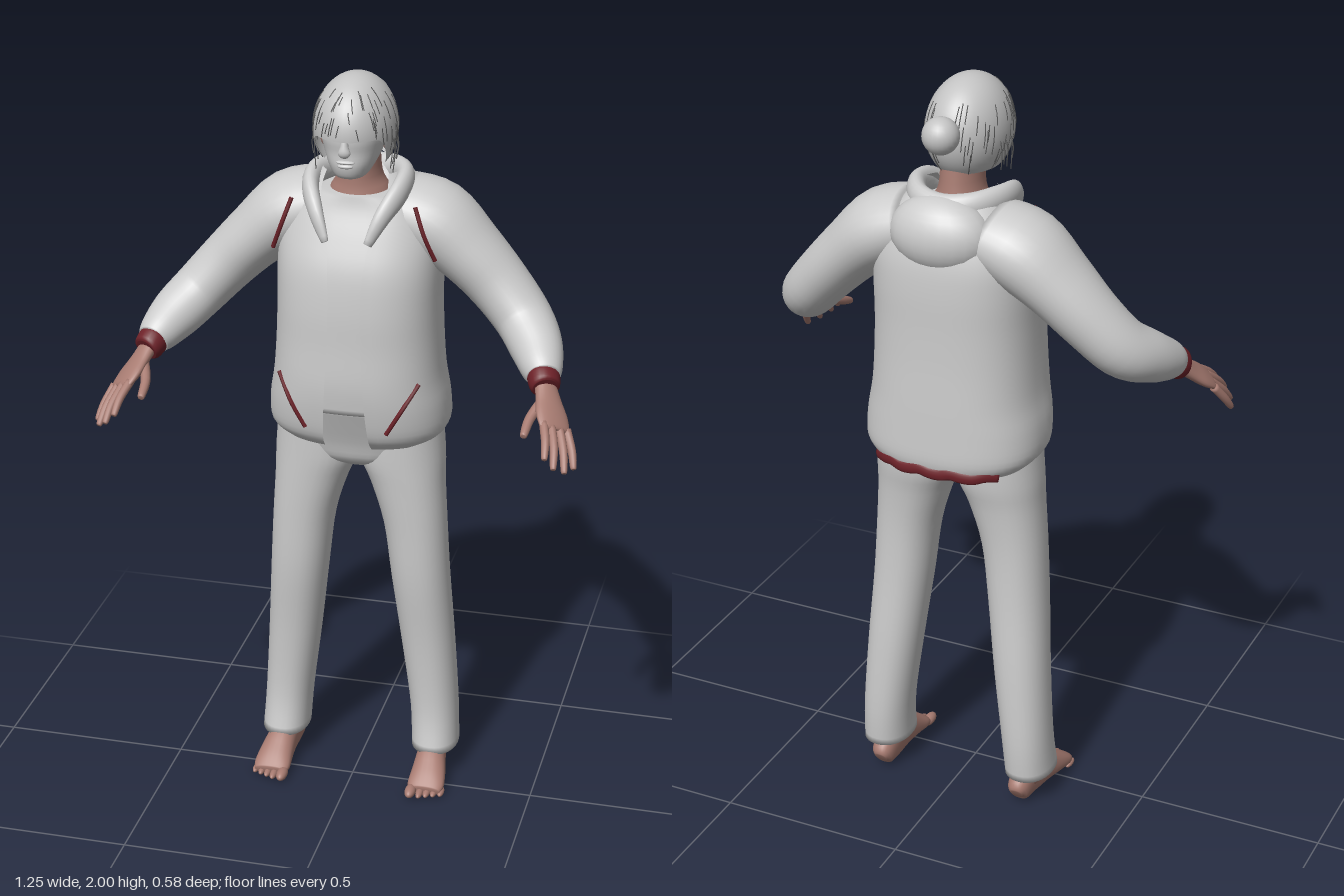
import * as THREE from 'three';
import { ParametricGeometry } from 'three/addons/geometries/ParametricGeometry.js';

const mat = (name, color, side = THREE.FrontSide) => {
  const m = new THREE.MeshStandardMaterial({ color, side });
  m.name = name;
  return m;
};
const V = (x, y, z) => new THREE.Vector3(x, y, z);

// Resample rows of numbers with a Catmull-Rom rule
function smooth(rows, k = 4) {
  const out = [];
  for (let i = 0; i < rows.length - 1; i++) {
    const [a, b, c, d] = [rows[Math.max(i - 1, 0)], rows[i], rows[i + 1], rows[Math.min(i + 2, rows.length - 1)]];
    for (let s = 0; s < k; s++) {
      const t = s / k;
      out.push(b.map((p, j) => p + 0.5 * t * (c[j] - a[j] + t * (2 * a[j] - 5 * p + 4 * c[j] - d[j] + t * (3 * (p - c[j]) + d[j] - a[j])))));
    }
  }
  out.push(rows[rows.length - 1]);
  return out;
}

// Skin superellipse rings {c, u, v, gap}; a gap leaves the front open
function loft(rings, { n = 2, segs = 32, open = false, caps = true } = {}) {
  const pos = [], idx = [], cols = open ? segs + 1 : segs;
  const pw = (f) => Math.sign(f) * Math.pow(Math.abs(f), 2 / n);
  rings.forEach(({ c, u, v, gap = 0 }) => {
    const g = open ? Math.asin(Math.pow(gap / u.length(), n / 2)) : 0;
    for (let j = 0; j < cols; j++) {
      const th = -Math.PI / 2 + g + (j / segs) * (Math.PI * 2 - 2 * g);
      const p = c.clone().addScaledVector(u, pw(Math.cos(th))).addScaledVector(v, pw(Math.sin(th)));
      pos.push(p.x, p.y, p.z);
    }
  });
  for (let i = 0; i < rings.length - 1; i++) {
    for (let j = 0; j < segs; j++) {
      const a = i * cols + j, b = i * cols + ((j + 1) % cols);
      idx.push(a, b, a + cols, b, b + cols, a + cols);
    }
  }
  if (caps && !open) {
    const last = rings.length - 1, k = pos.length / 3;
    for (const r of [rings[0], rings[last]]) pos.push(r.c.x, r.c.y, r.c.z);
    for (let j = 0; j < segs; j++) {
      const j2 = (j + 1) % segs;
      idx.push(k, j2, j, k + 1, last * cols + j, last * cols + j2);
    }
  }
  const geo = new THREE.BufferGeometry();
  geo.setAttribute('position', new THREE.Float32BufferAttribute(pos, 3));
  geo.setIndex(idx);
  geo.computeVertexNormals();
  return geo;
}

// Upright form, rows of [y, centreX, halfWidth, frontZ, backZ, gap]
const upright = (rows, opt) => loft(smooth(rows).map(([y, x, a, f, b, gap]) =>
  ({ c: V(x, y, (f + b) / 2), u: V(a, 0, 0), v: V(0, 0, (b - f) / 2), gap })), opt);

// Form swept along a path, rows of [x, y, z, radius along ref, other radius]
function sweep(rows, ref, opt) {
  const r = smooth(rows), at = (i) => V(...r[Math.min(Math.max(i, 0), r.length - 1)].slice(0, 3));
  return loft(r.map((q, i) => {
    const t = at(i + 1).sub(at(i - 1)).normalize();
    const u = ref.clone().addScaledVector(t, -ref.dot(t)).normalize();
    const v = t.clone().cross(u);
    return { c: at(i), u: u.multiplyScalar(q[3]), v: v.multiplyScalar(q[4]) };
  }), opt);
}

// Hair cap: a skull dome cut high over the face and low at the nape
function capPoint(phi, f, lift = 0) {
  const rim = 1.775 + 0.085 * THREE.MathUtils.smoothstep((1 + Math.cos(phi)) / 2, 0.55, 0.85);
  const th = Math.max(f, 0.001) * Math.acos((rim - 1.865) / 0.135);
  return V((0.105 + lift) * Math.sin(th) * Math.sin(phi), 1.865 + (0.135 + lift) * Math.cos(th),
    -0.032 + (0.14 + lift) * Math.sin(th) * Math.cos(phi));
}

const JACKET = [
  [1.015, 0, 0.205, 0.05, -0.275, 0.062], [1.05, 0, 0.235, 0.08, -0.283, 0.06], [1.12, 0, 0.235, 0.097, -0.282, 0.055],
  [1.2, 0, 0.222, 0.105, -0.28, 0.05], [1.3, 0, 0.215, 0.102, -0.276, 0.045], [1.4, 0, 0.212, 0.1, -0.275, 0.042],
  [1.5, 0, 0.212, 0.088, -0.276, 0.045], [1.58, 0, 0.205, 0.06, -0.27, 0.055], [1.65, 0, 0.175, 0.03, -0.25, 0.075],
  [1.7, 0, 0.135, 0, -0.22, 0.085], [1.735, 0, 0.1, -0.03, -0.18, 0.08]];
const JN = 2.5;

// Depth of the jacket surface at x, y (front or back)
function jacketZ(x, y, dir = 1) {
  const i = Math.max(JACKET.findIndex((r) => r[0] > y), 1), p = JACKET[i - 1], q = JACKET[i];
  const [, , a, f, b] = p.map((n, j) => n + (q[j] - n) * (y - p[0]) / (q[0] - p[0]));
  return (f + b) / 2 + dir * (f - b) / 2 * Math.pow(Math.max(1 - Math.pow(Math.abs(x) / a, JN), 0), 1 / JN);
}

export function createModel() {
  const model = new THREE.Group();
  const cloth = mat('pale cloth', 0xcccccc, THREE.DoubleSide);
  const face = mat('pale face', 0xcccccc);
  const hair = mat('grey hair', 0xc4c4c4, THREE.DoubleSide);
  const strand = mat('dark strands', 0x5a5a5a);
  const skin = mat('skin', 0xa87c72);
  const trim = mat('dark red trim', 0x6e2229);
  const add = (name, geo, material, parent = model) => {
    const m = new THREE.Mesh(geo, material);
    m.name = name;
    parent.add(m);
    return m;
  };
  const ball = (name, material, p, s, parent = model) => {
    const m = add(name, new THREE.SphereGeometry(1, 24, 16), material, parent);
    m.position.set(...p);
    m.scale.set(...s);
    return m;
  };
  const cord = (name, pts, r, material) =>
    add(name, new THREE.TubeGeometry(new THREE.CatmullRomCurve3(pts), 16, r, 5), material);

  // Clothed torso
  add('jacket', upright(JACKET, { n: JN, segs: 56, open: true }), cloth);
  add('shirt', upright(JACKET.slice(2, 9).map(([y, x, a, f, b]) => [y, x, a - 0.015, f - 0.014, b + 0.02])
    .concat([[1.69, 0, 0.09, 0.006, -0.17]]), { n: JN, segs: 40 }), cloth);
  add('waist', upright([[0.93, 0, 0.07, -0.03, -0.15], [0.96, 0, 0.16, 0.01, -0.19], [1.02, 0, 0.215, 0.03, -0.215],
    [1.13, 0, 0.2, 0.075, -0.23]], { n: 2.4 }), cloth);

  // Hood lying round the neck and down the back
  const half = [[0.055, 1.585, 0.07, 0.012, 0.008], [0.085, 1.65, 0.042, 0.024, 0.018], [0.115, 1.7, -0.02, 0.034, 0.022],
    [0.113, 1.717, -0.1, 0.034, 0.024], [0.07, 1.712, -0.17, 0.036, 0.026]];
  const other = half.map(([x, ...r]) => [-x, ...r]).reverse();
  add('hoodCollar', sweep([...half, [0, 1.705, -0.195, 0.038, 0.028], ...other], V(0, 1, 0), { segs: 20 }), cloth);
  ball('hoodPouch', cloth, [0, 1.64, -0.2], [0.135, 0.1, 0.088]);

  // Back hem band
  const hem = [];
  for (let i = 0; i <= 12; i++) {
    const x = -0.17 + i * 0.34 / 12;
    hem.push([x, 1.018 + 0.004 * Math.sin(i * 2), jacketZ(x, 1.02, -1) - 0.002, 0.015, 0.006]);
  }
  add('hemBand', sweep(hem, V(0, 1, 0), { segs: 10 }), trim);

  // Neck and head
  add('neck', upright([[1.6, 0, 0.09, 0.02, -0.15], [1.68, 0, 0.08, 0, -0.16], [1.73, 0, 0.056, -0.005, -0.15],
    [1.82, 0, 0.052, 0, -0.14]]), skin);
  add('head', upright([[1.748, 0, 0.024, 0.05, -0.01], [1.757, 0, 0.042, 0.068, -0.04], [1.785, 0, 0.06, 0.079, -0.09],
    [1.82, 0, 0.074, 0.079, -0.12], [1.86, 0, 0.084, 0.084, -0.14], [1.92, 0, 0.083, 0.075, -0.14],
    [1.97, 0, 0.05, 0.03, -0.09]], { n: 2.2 }), face);
  const nose = add('nose', sweep([[0, 1.875, 0.078, 0.008, 0.008], [0, 1.845, 0.084, 0.01, 0.011],
    [0, 1.826, 0.086, 0.016, 0.012], [0, 1.816, 0.08, 0.008, 0.006]], V(1, 0, 0), { segs: 16 }), face);
  nose.position.z = 0.002;
  ball('upperLip', face, [0, 1.8, 0.078], [0.024, 0.005, 0.009]);
  ball('lowerLip', face, [0, 1.789, 0.076], [0.02, 0.006, 0.009]);

  // Hair cap, bun and loose strands
  add('hairCap', new ParametricGeometry((u, v, t) => t.copy(capPoint(-2 * Math.PI * u, v)), 48, 20), hair);
  ball('hairBun', hair, [0, 1.893, -0.198], [0.047, 0.047, 0.047]);
  let seed = 7;
  const rnd = () => (seed = (seed * 16807) % 2147483647) / 2147483647;
  for (let i = 0; i < 90; i++) {
    const s = i % 2 ? 1 : -1, phi = s * (0.1 + rnd() * 2.8), f = 0.35 + rnd() * 0.5, len = 0.1 + rnd() * 0.14;
    cord('capStrand', [0, 0.5, 1].map((t) => capPoint(phi + s * t * 0.06, Math.min(f + t * len, 1), 0.0005)), 0.0013, strand);
  }
  for (const s of [-1, 1]) {
    for (let i = 0; i < 6; i++) {
      const x = s * (0.088 + rnd() * 0.016), z = -0.07 + i * 0.014, end = 1.75 + rnd() * 0.04;
      cord('looseStrand', [V(s * 0.096, 1.87, z), V(x + s * 0.005, 1.82, z), V(x, end, z + 0.005)], 0.0014, strand);
    }
  }

  for (const s of [1, -1]) {
    const side = new THREE.Group();
    side.name = s > 0 ? 'leftSide' : 'rightSide';
    model.add(side);
    const m = (rows) => rows.map(([x, ...r]) => [s * x, ...r]);
    const my = (rows) => rows.map(([y, x, ...r]) => [y, s * x, ...r]);
    ball('ear', skin, [s * 0.08, 1.835, -0.035], [0.012, 0.03, 0.02], side);

    // Sleeve and cuff
    add('sleeve', sweep(m([[0.1, 1.635, -0.12, 0.12, 0.085], [0.19, 1.6, -0.12, 0.128, 0.1], [0.28, 1.525, -0.115, 0.11, 0.086],
      [0.36, 1.445, -0.105, 0.092, 0.078], [0.43, 1.37, -0.075, 0.083, 0.073], [0.475, 1.325, -0.01, 0.069, 0.068],
      [0.503, 1.293, 0.055, 0.054, 0.054], [0.513, 1.279, 0.083, 0.042, 0.042]]), V(0, 0, 1)), cloth, side);
    add('cuff', sweep(m([[0.51, 1.284, 0.073, 0.036, 0.036], [0.512, 1.28, 0.079, 0.044, 0.041], [0.52, 1.266, 0.103, 0.042, 0.038],
      [0.523, 1.262, 0.11, 0.034, 0.03]]), V(0, 0, 1), { segs: 24 }), trim, side);

    // Hand
    const across = V(s * 0.76, -0.38, -0.53);
    add('palm', sweep(m([[0.517, 1.272, 0.09, 0.028, 0.022], [0.535, 1.24, 0.13, 0.037, 0.019], [0.55, 1.215, 0.165, 0.046, 0.018],
      [0.563, 1.195, 0.195, 0.044, 0.013], [0.566, 1.19, 0.202, 0.034, 0.007]]), across, { segs: 24 }), skin, side);
    const fingers = [
      [[0.537, 1.21, 0.205], [0.55, 1.182, 0.25], [0.555, 1.152, 0.285]],
      [[0.556, 1.2, 0.2], [0.572, 1.165, 0.25], [0.578, 1.13, 0.288]],
      [[0.574, 1.19, 0.186], [0.593, 1.15, 0.232], [0.602, 1.113, 0.267]],
      [[0.59, 1.182, 0.172], [0.61, 1.14, 0.204], [0.619, 1.108, 0.229]],
      [[0.522, 1.24, 0.135], [0.5, 1.212, 0.19], [0.495, 1.19, 0.243]]];
    fingers.forEach(([a, b, c], i) => {
      const r = i === 4 ? 0.014 : 0.0115, tip = c.map((q, k) => q + (c[k] - b[k]) * 0.12);
      add(i === 4 ? 'thumb' : 'finger', sweep(m([[...a, r, r], [...b, r * 0.92, r * 0.92], [...c, r * 0.7, r * 0.7],
        [...tip, r * 0.25, r * 0.25]]), across, { segs: 12 }), skin, side);
    });

    // Trouser leg
    add('trouserLeg', upright(my([[0.082, 0.213, 0.064, -0.01, -0.188], [0.2, 0.206, 0.065, -0.03, -0.195],
      [0.4, 0.187, 0.072, -0.022, -0.19], [0.6, 0.168, 0.078, 0, -0.178], [0.76, 0.153, 0.084, 0.008, -0.176],
      [0.88, 0.131, 0.099, 0.014, -0.186], [0.96, 0.113, 0.115, 0.018, -0.2], [1.06, 0.112, 0.108, 0.02, -0.205]]),
      { n: 2.2 }), cloth, side);

    // Bare foot
    add('ankle', upright(my([[0.05, 0.208, 0.036, -0.05, -0.17], [0.16, 0.21, 0.036, -0.07, -0.155]])), skin, side);
    add('foot', sweep(m([[0.205, 0.035, -0.18, 0.016, 0.018], [0.205, 0.043, -0.165, 0.03, 0.041], [0.207, 0.058, -0.11, 0.036, 0.058],
      [0.212, 0.052, -0.05, 0.04, 0.052], [0.217, 0.035, 0.01, 0.047, 0.035], [0.218, 0.022, 0.05, 0.05, 0.022],
      [0.218, 0.016, 0.072, 0.043, 0.013]]), V(1, 0, 0), { n: 2.3, segs: 28 }), skin, side);
    for (let i = 0; i < 5; i++) {
      const r = i ? 0.0105 - i * 0.0004 : 0.015;
      ball('toe', skin, [s * (i ? 0.188 + i * 0.0185 : 0.182), r, 0.079 - i * 0.006], [r, r, 0.031 - i * 0.002], side);
    }

    // Red pocket edge and shoulder seam
    cord('pocketEdge', [0, 0.5, 1].map((t) => {
      const x = s * (0.185 - 0.078 * t), y = 1.21 - 0.135 * t;
      return V(x, y, jacketZ(x, y) + 0.003);
    }), 0.006, trim);
    cord('shoulderSeam', [V(s * 0.16, 1.67, -0.004), V(s * 0.185, 1.6, 0.006), V(s * 0.212, 1.53, -0.008)], 0.006, trim);
  }
  return model;
}
